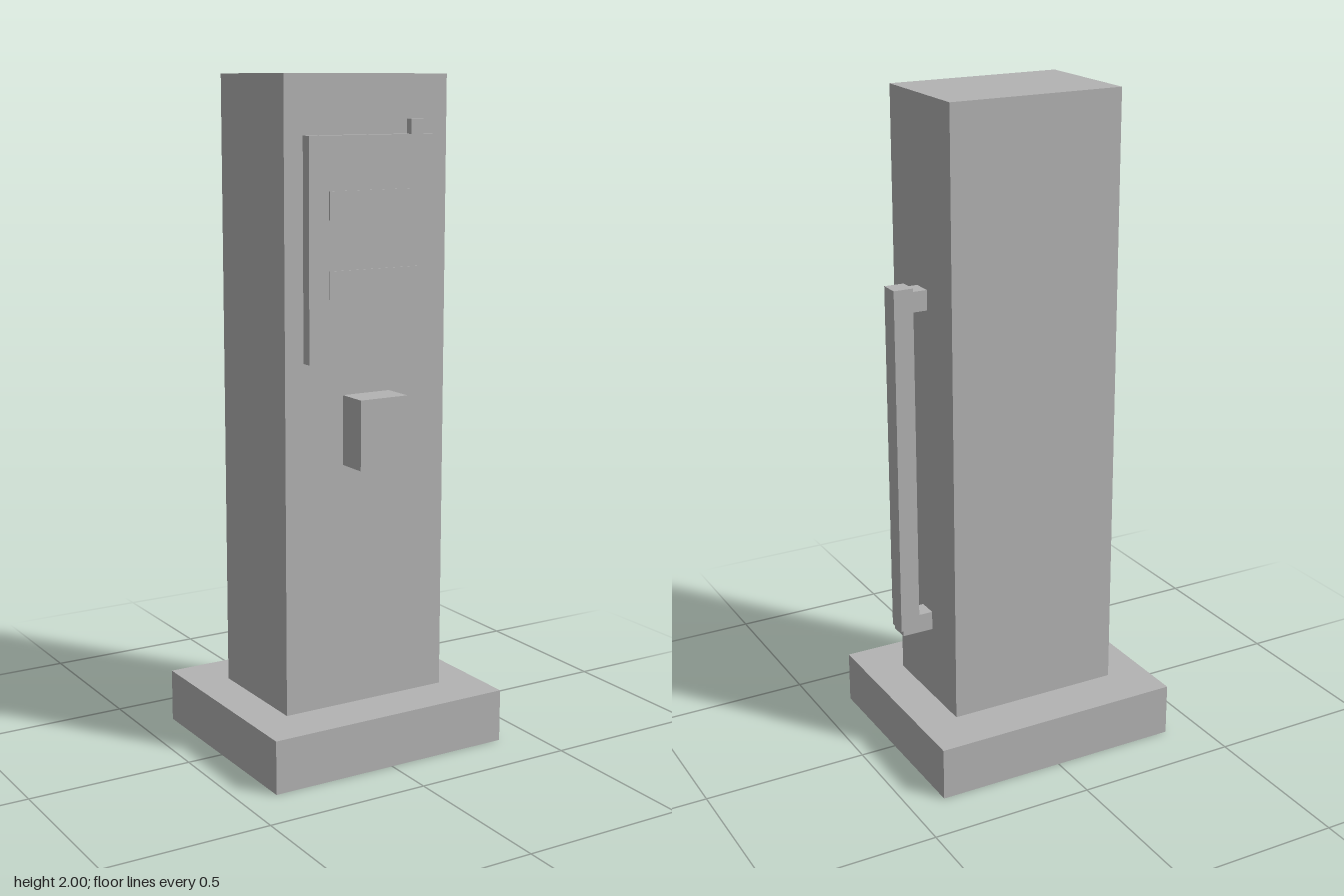
import * as THREE from 'three';

export function createModel() {
  const model = new THREE.Group();
  model.name = 'fuelPump';
  const grey = new THREE.MeshStandardMaterial({ color: 0xb3b3b3 });
  grey.name = 'plainGrey';

  // Box given by its extents along each axis
  function box(name, [x0, x1], [y0, y1], [z0, z1], parent = model) {
    const mesh = new THREE.Mesh(new THREE.BoxGeometry(x1 - x0, y1 - y0, z1 - z0), grey);
    mesh.position.set((x0 + x1) / 2, (y0 + y1) / 2, (z0 + z1) / 2);
    mesh.name = name;
    parent.add(mesh);
  }

  // Plinth and cabinet
  box('base', [-0.39, 0.39], [0, 0.16], [-0.336, 0.336]);
  box('cabinet', [-0.269, 0.269], [0.16, 2], [-0.184, 0.184]);

  // Raised front panel with a small tab on its top edge
  box('frontPanel', [-0.209, 0.207], [1.197, 1.832], [0.184, 0.217]);
  box('panelTab', [0.126, 0.167], [1.832, 1.875], [0.196, 0.219]);

  // Two thin display windows, just proud of the panel
  for (const y of [1.378, 1.6]) {
    box('displayWindow', [-0.147, 0.145], [y, y + 0.08], [0.222, 0.225]);
  }

  // Nozzle holder block
  box('nozzleHolder', [-0.079, 0.078], [0.89, 1.095], [0.184, 0.282]);

  // Square-section hose on the left side
  const hose = new THREE.Group();
  hose.name = 'hose';
  model.add(hose);
  const depth = [-0.031, 0.03];
  box('hoseUpright', [0.312, 0.372], [0.403, 1.462], depth, hose);
  box('hoseTopArm', [0.269, 0.33], [1.392, 1.452], depth, hose);
  box('hoseBottomArm', [0.269, 0.366], [0.387, 0.445], depth, hose);

  return model;
}
